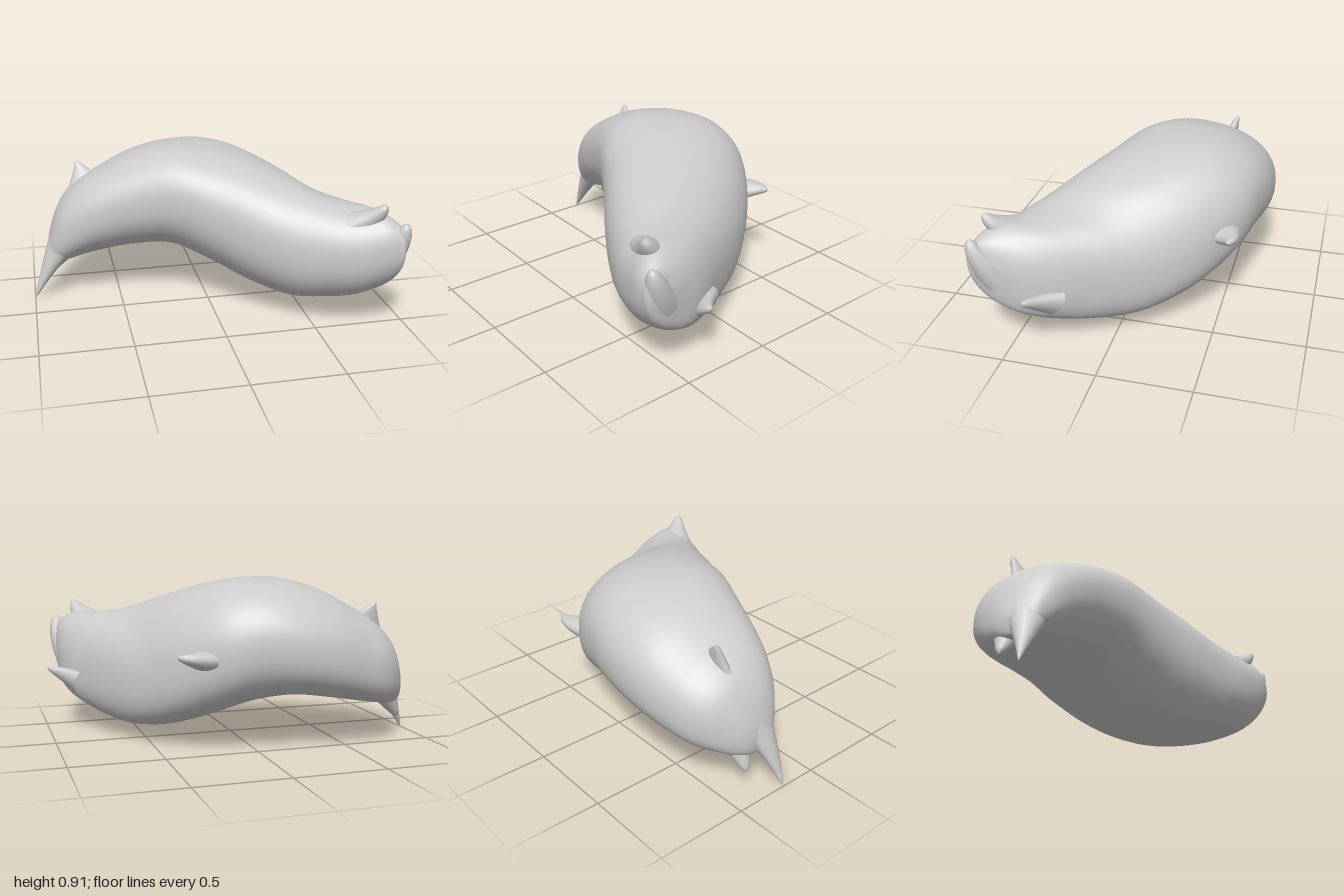
import * as THREE from 'three';

const V = (x, y, z) => new THREE.Vector3(x, y, z);
const material = new THREE.MeshStandardMaterial({ color: 0xcccccc, side: THREE.DoubleSide });

// Skin a list of closed rings with a smooth surface
function loft(name, rings) {
  const n = rings[0].length, index = [];
  for (let i = 0; i < rings.length - 1; i++) {
    for (let j = 0; j < n; j++) {
      const a = i * n + j, b = i * n + (j + 1) % n;
      index.push(a, a + n, b, b, a + n, b + n);
    }
  }
  const geometry = new THREE.BufferGeometry().setFromPoints(rings.flat());
  geometry.setIndex(index);
  geometry.computeVertexNormals();
  const mesh = new THREE.Mesh(geometry, material);
  mesh.name = name;
  return mesh;
}

// Body stations: x, top y, bottom y, back z, front z, lean (y shift from back to front)
const STATIONS = [
  [-0.905, 0.30, 0.26, -0.32, -0.26, 0],
  [-0.89, 0.38, 0.20, -0.39, -0.19, 0],
  [-0.85, 0.50, 0.19, -0.46, -0.14, 0.02],
  [-0.79, 0.60, 0.20, -0.54, -0.09, 0.03],
  [-0.70, 0.68, 0.22, -0.61, -0.045, 0.05],
  [-0.58, 0.75, 0.245, -0.655, 0.0, 0.06],
  [-0.40, 0.84, 0.275, -0.695, 0.06, 0.06],
  [-0.20, 0.895, 0.29, -0.70, 0.15, 0.05],
  [0.0, 0.90, 0.235, -0.665, 0.27, 0.0],
  [0.20, 0.86, 0.15, -0.60, 0.41, -0.02],
  [0.40, 0.78, 0.085, -0.45, 0.53, 0.0],
  [0.57, 0.695, 0.085, -0.24, 0.615, 0.05],
  [0.70, 0.67, 0.12, -0.03, 0.66, 0.06],
  [0.80, 0.66, 0.175, 0.15, 0.685, 0.07],
  [0.87, 0.625, 0.23, 0.28, 0.69, 0.07],
  [0.91, 0.58, 0.30, 0.39, 0.685, 0.06],
  [0.93, 0.51, 0.44, 0.53, 0.63, 0],
];

function body() {
  const curve = (a, b) => new THREE.CatmullRomCurve3(
    STATIONS.map(s => V(s[0], s[a], s[b])), false, 'catmullrom', 0.5);
  const heights = curve(1, 2), depths = curve(3, 4), leans = curve(5, 5);
  const rings = [], steps = 96, sides = 48;
  const round = v => Math.sign(v) * Math.pow(Math.abs(v), 0.87);
  for (let i = 0; i <= steps; i++) {
    const t = i / steps;
    const h = heights.getPoint(t), d = depths.getPoint(t), lean = leans.getPoint(t).y;
    const closed = i === 0 || i === steps ? 0 : 1;
    const ring = [];
    for (let j = 0; j < sides; j++) {
      const a = j / sides * Math.PI * 2;
      const u = round(Math.cos(a)) * closed, v = round(Math.sin(a)) * closed;
      ring.push(V(h.x, (h.y + h.z) / 2 + v * (h.y - h.z) / 2 + u * lean,
        (d.y + d.z) / 2 + u * (d.z - d.y) / 2));
    }
    rings.push(ring);
  }
  return loft('body', rings);
}

// Tapered, bent fin: wide along the given direction, flared at its base
function fin(name, points, wideDir, wide, thin, tip) {
  const curve = new THREE.QuadraticBezierCurve3(...points);
  const rings = [], steps = 16, sides = 16;
  for (let i = 0; i <= steps; i++) {
    const t = i / steps;
    const p = curve.getPoint(t), T = curve.getTangent(t);
    const S = wideDir.clone().addScaledVector(T, -wideDir.dot(T)).normalize();
    const U = S.clone().cross(T);
    const taper = Math.pow(1 - t, 1.3);
    const end = Math.sqrt(Math.max(0, 1 - Math.pow(t, 8)));
    const w = (tip + (wide - tip) * taper) * end;
    const h = (tip + (thin - tip) * taper) * end;
    const ring = [];
    for (let j = 0; j < sides; j++) {
      const a = j / sides * Math.PI * 2;
      ring.push(p.clone().addScaledVector(S, Math.cos(a) * w).addScaledVector(U, Math.sin(a) * h));
    }
    rings.push(ring);
  }
  return loft(name, rings);
}

export function createModel() {
  const group = new THREE.Group();
  group.name = 'finnedCreature';
  group.add(
    body(),
    // Tail lobes
    fin('longTailLobe', [V(-0.80, 0.36, -0.26), V(-0.91, 0.20, -0.22), V(-1.0, 0.0, -0.205)],
      V(0.3, 0, 1), 0.13, 0.09, 0.012),
    fin('shortTailLobe', [V(-0.78, 0.28, -0.35), V(-0.83, 0.20, -0.36), V(-0.89, 0.105, -0.36)],
      V(0, 0, 1), 0.11, 0.08, 0.025),
    // Fins on the back and the flanks
    fin('dorsalFin', [V(-0.66, 0.60, -0.35), V(-0.68, 0.70, -0.39), V(-0.71, 0.77, -0.41)],
      V(1, 0.5, 0), 0.13, 0.05, 0.014),
    fin('backFlankFin', [V(0.24, 0.49, -0.45), V(0.36, 0.51, -0.58), V(0.45, 0.53, -0.545)],
      V(1, 0, 0.7), 0.13, 0.07, 0.018),
    fin('frontFlankFin', [V(0.82, 0.28, 0.27), V(0.92, 0.33, 0.35), V(1.0, 0.365, 0.37)],
      V(0, 0.6, -1), 0.10, 0.06, 0.018),
    // Points on the head
    fin('upperHeadPoint', [V(0.70, 0.59, 0.50), V(0.79, 0.66, 0.58), V(0.81, 0.735, 0.625)],
      V(1, 0, -0.3), 0.11, 0.08, 0.026),
    fin('lowerHeadPoint', [V(0.84, 0.42, 0.56), V(0.92, 0.55, 0.64), V(0.91, 0.64, 0.665)],
      V(1, 0, 0.4), 0.10, 0.10, 0.03),
  );
  return group;
}
